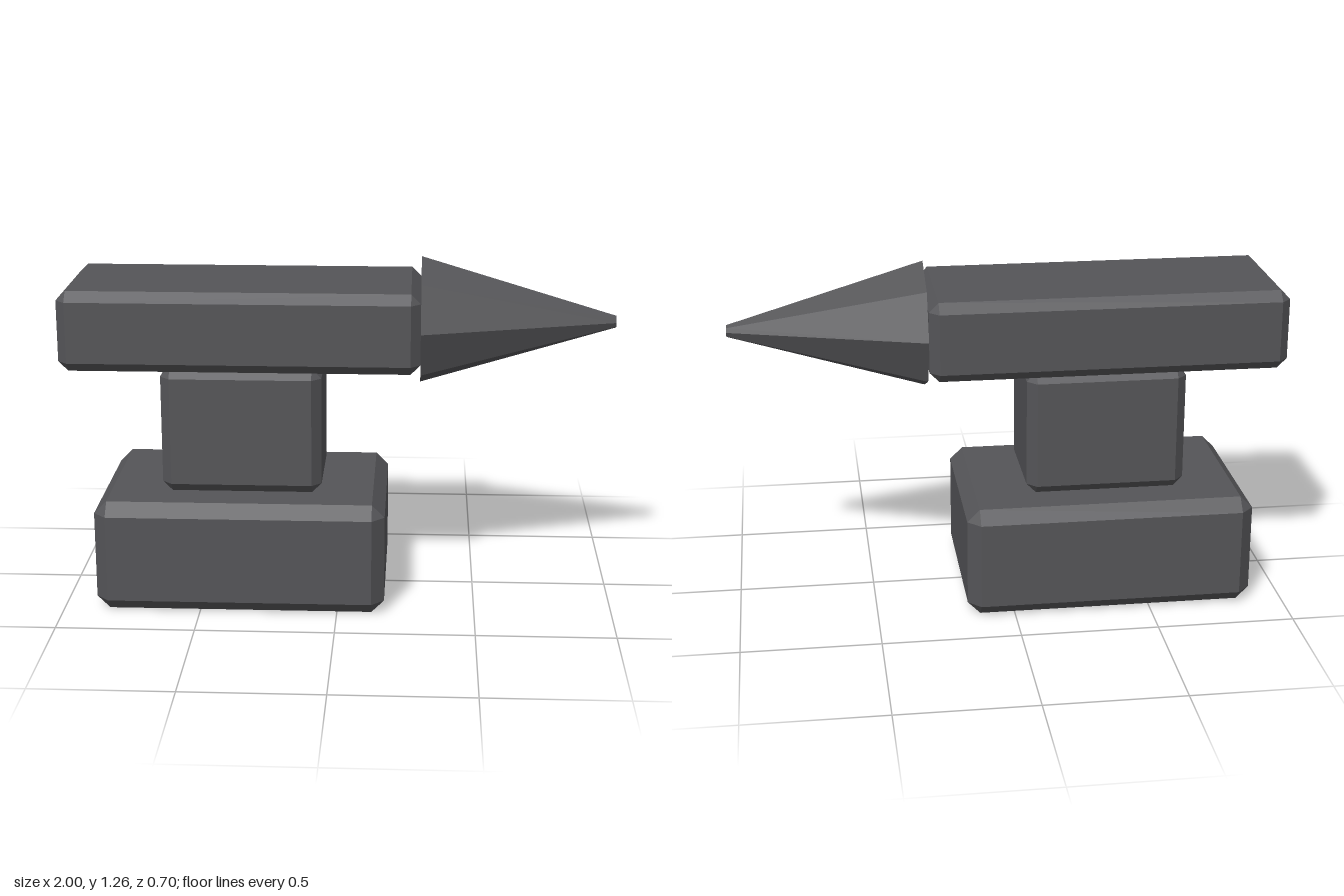
import * as THREE from 'three';
import { ConvexGeometry } from 'three/addons/geometries/ConvexGeometry.js';

// Box with every edge and corner cut flat by c, given by its min and max corners
function chamferedBox(min, max, c) {
  const half = min.map((v, i) => (max[i] - v) / 2);
  const points = [];
  for (const sx of [-1, 1]) for (const sy of [-1, 1]) for (const sz of [-1, 1]) {
    for (let axis = 0; axis < 3; axis++) {
      const p = half.map((h, i) => (i === axis ? h : h - c));
      points.push(new THREE.Vector3(sx * p[0], sy * p[1], sz * p[2]));
    }
  }
  const geometry = new ConvexGeometry(points);
  geometry.translate(...min.map((v, i) => (v + max[i]) / 2));
  return geometry;
}

export function createModel() {
  const model = new THREE.Group();
  model.name = 'anvil';

  const iron = new THREE.MeshStandardMaterial({ color: 0x555558 });
  iron.name = 'dark iron';

  const add = (name, geometry) => {
    const mesh = new THREE.Mesh(geometry, iron);
    mesh.name = name;
    model.add(mesh);
  };

  // Stacked blocks, from the ground up
  add('base', chamferedBox([-0.88, 0, -0.352], [0.172, 0.413, 0.352], 0.046));
  add('waist', chamferedBox([-0.645, 0.413, -0.205], [-0.062, 0.88, 0.205], 0.035));
  add('body', chamferedBox([-1, 0.88, -0.265], [0.293, 1.172, 0.265], 0.035));

  // Eight-sided horn with a blunt tip, faceted by splitting its vertices
  const length = 0.707;
  const horn = new THREE.CylinderGeometry(0.022, 0.235, length, 8).toNonIndexed();
  horn.computeVertexNormals();
  horn.rotateZ(-Math.PI / 2);
  horn.translate(1 - length / 2, 1.026, 0);
  add('horn', horn);

  return model;
}
